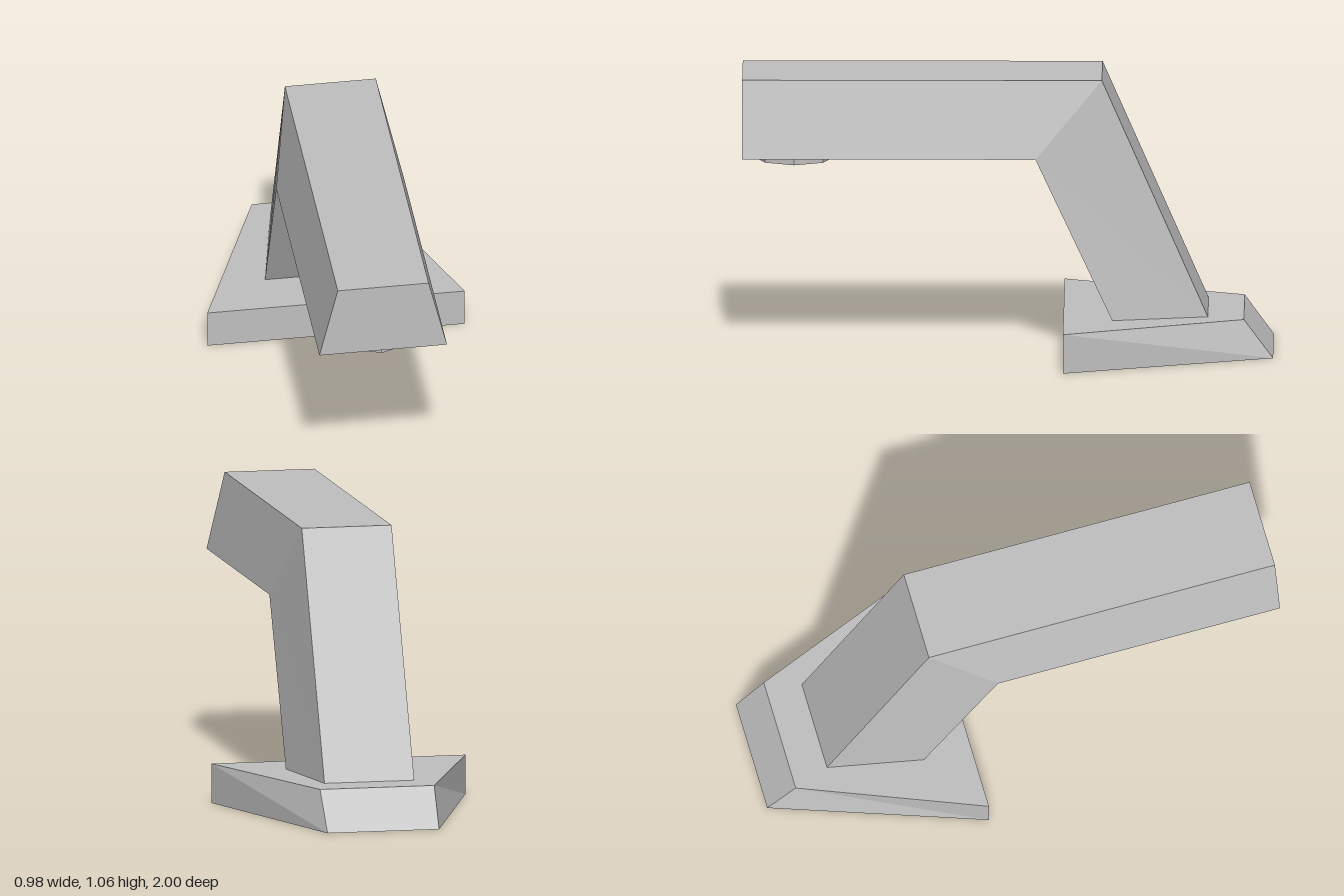
import * as THREE from 'three';

// Joins four-cornered sections with flat faces and closes only the first one
function loft(sections) {
  const pos = [];
  const quad = (a, b, c, d) => pos.push(...a, ...b, ...c, ...a, ...c, ...d);
  quad(...sections[0]);
  for (let s = 0; s + 1 < sections.length; s++) {
    const a = sections[s], b = sections[s + 1];
    for (let i = 0; i < 4; i++) {
      const j = (i + 1) % 4;
      quad(a[i], b[i], b[j], a[j]);
    }
  }
  const geo = new THREE.BufferGeometry();
  geo.setAttribute('position', new THREE.Float32BufferAttribute(pos, 3));
  geo.computeVertexNormals();
  return geo;
}

// Mirrored section from two corners on the +x side
const section = (p, q) => [p, q, [-q[0], q[1], q[2]], [-p[0], p[1], p[2]]];

export function createModel() {
  const group = new THREE.Group();
  const metal = new THREE.MeshStandardMaterial({ color: 0xc0c0c0, flatShading: true, side: THREE.DoubleSide });
  metal.name = 'grey metal';
  const dark = new THREE.MeshStandardMaterial({ color: 0x444444, flatShading: true });
  dark.name = 'dark outlet';

  const add = (name, geo, material) => {
    const mesh = new THREE.Mesh(geo, material);
    mesh.name = name;
    group.add(mesh);
    return mesh;
  };

  // Wedge-shaped foot, hollow underneath
  add('base', loft([
    section([0.49, 0.15, -0.21], [0.22, 0.15, -0.89]),
    section([0.49, 0, -0.21], [0.215, 0, -1]),
  ]), metal);

  // Tapered spout, mitred into the leaning neck
  add('spoutAndNeck', loft([
    section([0.243, 0.77, 1], [0.173, 1.06, 1]),
    section([0.243, 0.77, -0.105], [0.173, 1.06, -0.355]),
    section([0.243, 0.148, -0.395], [0.173, 0.148, -0.755]),
  ]), metal);

  // Eight-sided outlet ring with a dark face below
  add('outletRing', new THREE.CylinderGeometry(0.155, 0.155, 0.042, 8, 1, true), metal)
    .position.set(0, 0.749, 0.805);
  const face = add('outletFace', new THREE.CircleGeometry(0.155, 8), dark);
  face.rotation.x = Math.PI / 2;
  face.position.set(0, 0.728, 0.805);

  return group;
}
